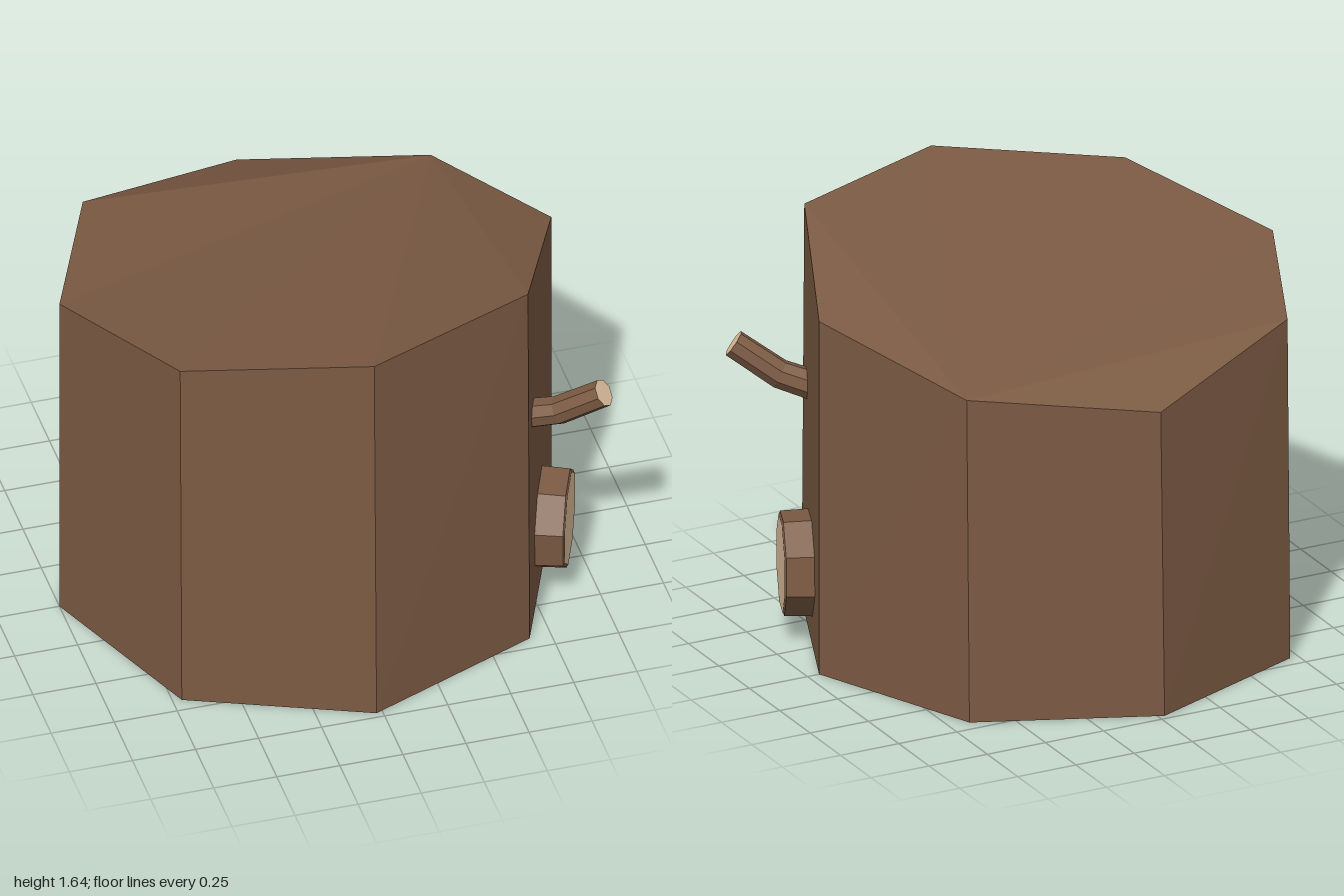
import * as THREE from 'three';

const bark = new THREE.MeshStandardMaterial({ color: 0x7b5a43, flatShading: true });
const wood = new THREE.MeshStandardMaterial({ color: 0xe6c7a2, flatShading: true });
const UP = new THREE.Vector3(0, 1, 0);

function addMesh(parent, name, geometry, material) {
  const mesh = new THREE.Mesh(geometry, material);
  mesh.name = name;
  parent.add(mesh);
  return mesh;
}

// Eight-sided trunk with an uneven, sloping cut on top
function trunkGeometry() {
  const heights = [1.455, 1.64, 1.645, 1.565, 1.455, 1.39, 1.24, 1.32];
  const n = heights.length, radius = 0.975;
  const pos = [], idx = [];
  for (const top of [false, true]) {
    for (let k = 0; k < n; k++) {
      const a = (k / n) * Math.PI * 2;
      pos.push(Math.cos(a) * radius - 0.025, top ? heights[k] : 0, Math.sin(a) * radius * (top ? 0.968 : 1));
    }
  }
  for (let k = 0; k < n; k++) {
    const j = (k + 1) % n;
    idx.push(k, k + n, j, j, k + n, j + n);
    // top and bottom fan out from the back left corner
    if (k < n - 2) idx.push(2 * n - 1, j + n, k + n, n - 1, k, j);
  }
  const g = new THREE.BufferGeometry();
  g.setAttribute('position', new THREE.Float32BufferAttribute(pos, 3));
  g.setIndex(idx);
  const flat = g.toNonIndexed();
  flat.computeVertexNormals();
  return flat;
}

// Cylinder whose rings follow a curve
function bentCylinder(curve, rTop, rBottom, sides, segments) {
  const g = new THREE.CylinderGeometry(rTop, rBottom, 1, sides, segments);
  const p = g.attributes.position, v = new THREE.Vector3(), q = new THREE.Quaternion();
  for (let i = 0; i < p.count; i++) {
    v.fromBufferAttribute(p, i);
    const t = v.y + 0.5;
    v.y = 0;
    q.setFromUnitVectors(UP, curve.getTangent(t));
    v.applyQuaternion(q).add(curve.getPoint(t));
    p.setXYZ(i, v.x, v.y, v.z);
  }
  g.computeVertexNormals();
  return g;
}

export function createModel() {
  const model = new THREE.Group();
  model.name = 'treeStump';
  addMesh(model, 'trunk', trunkGeometry(), bark);

  // Sawn-off limb low on the front left face
  const a = Math.PI / 8;
  const normal = new THREE.Vector3(Math.cos(a), 0, Math.sin(a));
  const limb = new THREE.Group();
  limb.name = 'cutLimb';
  limb.position.set(0.905, 0.305, 0.39);
  limb.quaternion.setFromUnitVectors(UP, normal);
  const start = THREE.MathUtils.degToRad(-39.5);
  const stub = addMesh(limb, 'limbBark',
    new THREE.CylinderGeometry(0.202, 0.208, 0.15, 8, 1, false, start), bark);
  stub.position.y = -0.075;
  const face = addMesh(limb, 'limbCutFace',
    new THREE.CylinderGeometry(0.188, 0.2, 0.006, 8, 1, false, start), [bark, wood, bark]);
  face.position.y = 0.003;
  model.add(limb);

  // Thin bent branch above it
  const path = new THREE.CatmullRomCurve3([
    new THREE.Vector3(0.68, 0.945, 0.51),
    new THREE.Vector3(0.81, 0.995, 0.59),
    new THREE.Vector3(0.96, 1.115, 0.685),
  ]);
  addMesh(model, 'branch', bentCylinder(path, 0.055, 0.06, 8, 2), [bark, wood, bark]);

  return model;
}
